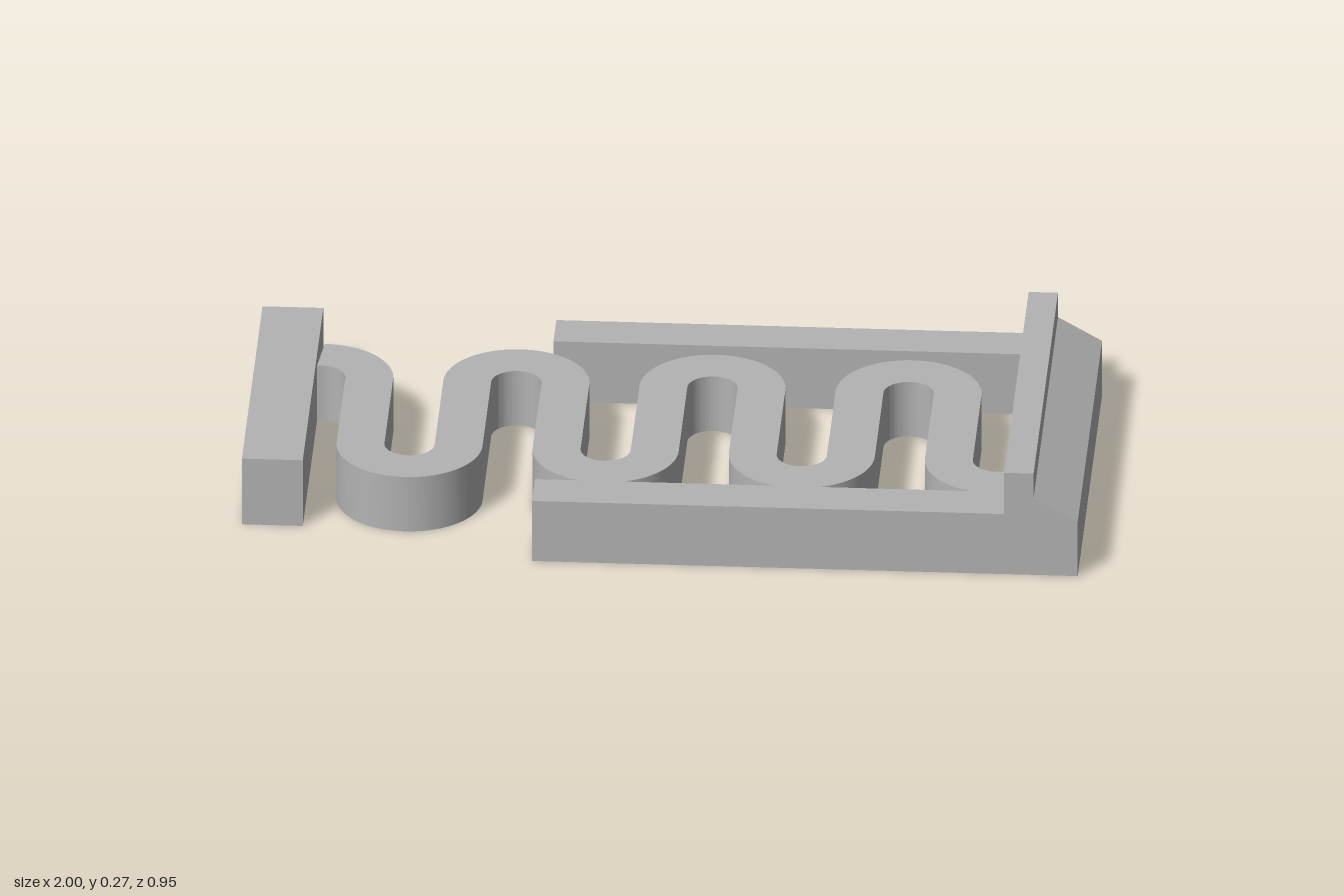
import * as THREE from 'three';
import { toCreasedNormals } from 'three/addons/utils/BufferGeometryUtils.js';

export function createModel() {
  const model = new THREE.Group();
  model.name = 'springLatch';
  const grey = new THREE.MeshStandardMaterial({ color: 0xb3b3b3 });
  grey.name = 'grey';

  function add(name, geometry) {
    const mesh = new THREE.Mesh(geometry, grey);
    mesh.name = name;
    model.add(mesh);
  }

  // Block standing on the ground, given by its x and z limits
  function block(name, x0, x1, z0, z1, height) {
    const g = new THREE.BoxGeometry(x1 - x0, height, z1 - z0);
    g.translate((x0 + x1) / 2, height / 2, (z0 + z1) / 2);
    add(name, g);
  }

  block('endBlock', -1, -0.855, -0.475, 0.325, 0.175);
  block('backRail', -0.3, 0.825, -0.475, -0.363, 0.16);
  block('frontRail', -0.3, 0.825, 0.36, 0.475, 0.16);

  // Latch head: upright lip with a sloped shoulder
  const profile = [[0.825, 0], [1, 0], [1, 0.145], [0.895, 0.205], [0.895, 0.27], [0.825, 0.27]];
  const head = new THREE.ExtrudeGeometry(
    new THREE.Shape(profile.map(([x, y]) => new THREE.Vector2(x, y))),
    { depth: 0.95, bevelEnabled: false });
  head.translate(0, 0, -0.475);
  add('latchHead', head);

  // Serpentine spring: a band of constant width along alternating half circles
  const firstX = -0.844, pitch = 0.2336, radius = pitch / 2, half = 0.057;
  const backY = 0.172, frontY = -0.165, bends = 8;
  const startX = -0.855, endX = 0.825;
  const spring = new THREE.Shape();

  function bend(i, side, reverse) {
    const atBack = i % 2 === 0;
    const r = radius + (atBack ? side : -side) * half;
    let from = i === 0 ? Math.PI / 2 : Math.PI;
    let to = atBack ? 0 : Math.PI * 2;
    if (i === bends - 1) to = Math.PI * 1.5;
    if (reverse) [from, to] = [to, from];
    spring.absarc(firstX + i * pitch, atBack ? backY : frontY, r, from, to, atBack !== reverse);
  }

  spring.moveTo(startX, backY + radius + half);
  for (let i = 0; i < bends; i++) bend(i, 1, false);
  spring.lineTo(endX, frontY - radius + half);
  spring.lineTo(endX, frontY - radius - half);
  for (let i = bends - 1; i >= 0; i--) bend(i, -1, true);
  spring.lineTo(startX, backY + radius - half);
  spring.closePath();

  const band = new THREE.ExtrudeGeometry(spring, { depth: 0.145, bevelEnabled: false, curveSegments: 24 });
  band.rotateX(-Math.PI / 2);
  add('serpentineSpring', toCreasedNormals(band, 0.6));

  return model;
}
